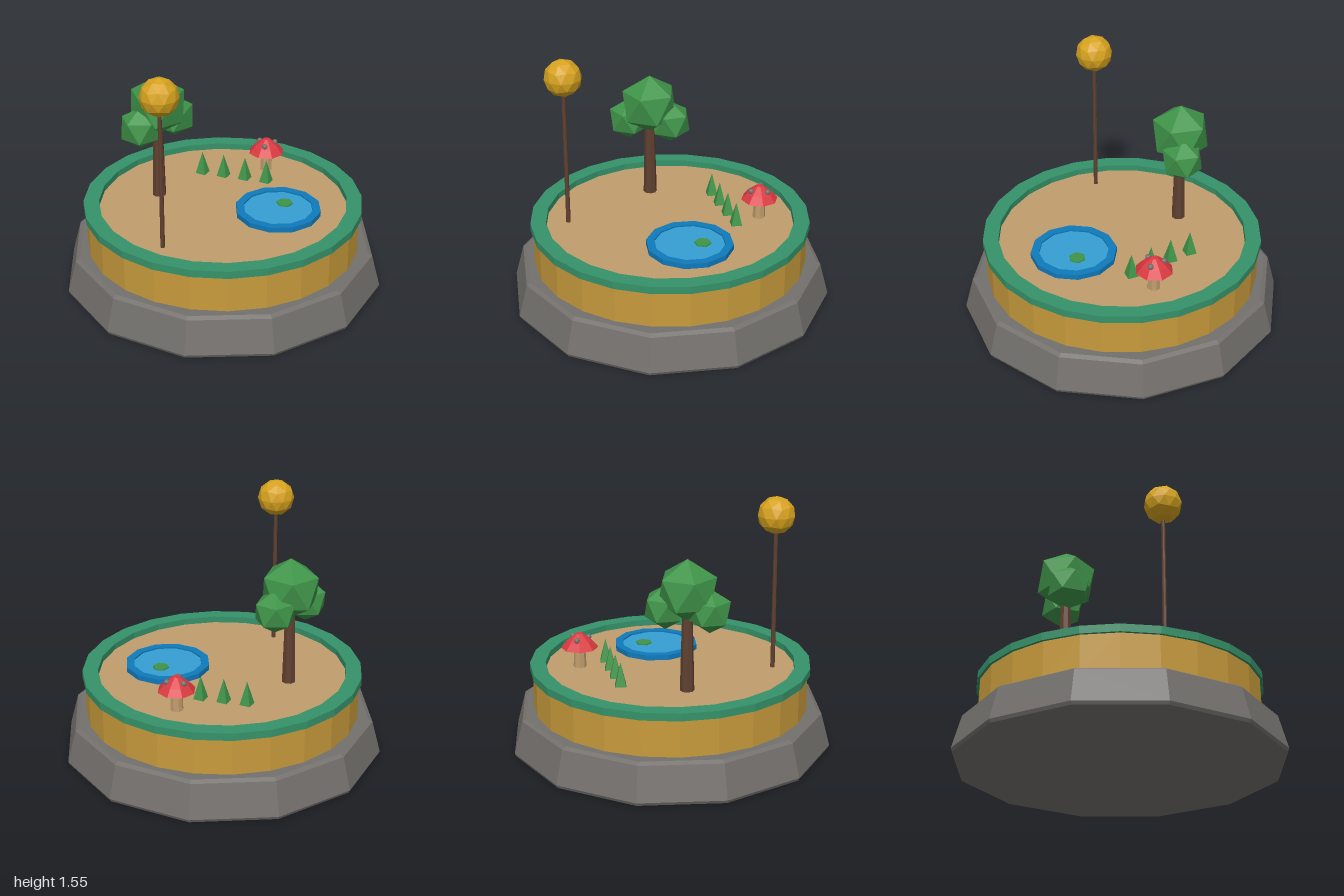
import * as THREE from 'three';

const mat = (name, color) => {
  const m = new THREE.MeshStandardMaterial({ color, flatShading: true });
  m.name = name;
  return m;
};

export function createModel() {
  const stone = mat('stone grey', 0x73706d);
  const ochre = mat('ochre', 0xc89b3c);
  const rimGreen = mat('rim green', 0x35926a);
  const sand = mat('sand', 0xc09c6c);
  const bark = mat('bark brown', 0x5f4030);
  const leaf = mat('leaf green', 0x3f9449);
  const gold = mat('lamp gold', 0xd6a21e);
  const red = mat('mushroom red', 0xd93a40);
  const deepBlue = mat('pond edge blue', 0x0f7abc);
  const water = mat('water blue', 0x349fd2);

  const model = new THREE.Group();
  model.name = 'gardenIsland';

  const add = (name, geometry, material, x = 0, y = 0, z = 0, parent = model) => {
    const mesh = new THREE.Mesh(geometry, material);
    mesh.name = name;
    mesh.position.set(x, y, z);
    parent.add(mesh);
    return mesh;
  };
  const group = (name, x, z) => {
    const g = new THREE.Group();
    g.name = name;
    g.position.set(x, 0, z);
    model.add(g);
    return g;
  };
  // Faceted turned shape from [radius, height] pairs
  const turned = (points, sides) =>
    new THREE.LatheGeometry(points.map(([r, y]) => new THREE.Vector2(r, y)), sides);
  // Upright prism between two heights
  const prism = (rTop, rBottom, y0, y1, sides) =>
    new THREE.CylinderGeometry(rTop, rBottom, y1 - y0, sides).translate(0, (y0 + y1) / 2, 0);
  // Faceted ball standing on one of its corners
  const ball = (r, detail) =>
    new THREE.IcosahedronGeometry(r, detail).rotateZ(-Math.atan(2 / (1 + Math.sqrt(5))));

  const floorY = 0.475;

  // Plinth, drum, floor and raised rim
  add('stoneBase', turned([[0, 0], [0.99, 0], [1, 0.02], [0.945, 0.225], [0.92, 0.24], [0, 0.24]], 12), stone);
  add('drum', prism(0.85, 0.85, 0.23, 0.47, 24), ochre);
  add('floor', prism(0.78, 0.78, 0.465, floorY, 24), sand);
  add('rim', turned([[0.77, 0.468], [0.866, 0.468], [0.866, 0.515], [0.77, 0.515], [0.77, 0.468]], 24), rimGreen);

  // Tree with three crown lobes
  const tree = group('tree', -0.345, -0.245);
  add('trunk', prism(0.03, 0.043, floorY, 1.0, 8), bark, 0, 0, 0, tree);
  add('crownTop', ball(0.19, 0), leaf, 0, 1.09, 0, tree);
  add('crownRight', ball(0.135, 0), leaf, -0.122, 0.98, 0.055, tree);
  add('crownLeft', ball(0.135, 0), leaf, 0.12, 0.98, -0.06, tree);

  // Lamp
  const lamp = group('lamp', -0.493, 0.395);
  add('lampPole', prism(0.012, 0.014, floorY, 1.36, 8), bark, 0, 0, 0, lamp);
  add('lampGlobe', ball(0.115, 1), gold, 0, 1.44, 0, lamp);

  // Row of grass tufts
  for (let i = 0; i < 4; i++) {
    add('grassTuft', prism(0, 0.047, floorY, 0.622, 4), leaf, 0.118 * i, 0, -0.45 + 0.08 * i);
  }

  // Mushroom with three spots
  const mushroom = group('mushroom', 0.412, -0.378);
  add('mushroomStem', prism(0.034, 0.04, floorY, 0.61, 8), sand, 0, 0, 0, mushroom);
  add('mushroomCap', turned([[0, 0.6], [0.115, 0.6], [0.08, 0.642], [0.022, 0.69], [0, 0.69]], 8), red, 0, 0, 0, mushroom);
  for (let i = 0; i < 3; i++) {
    const a = (i * Math.PI * 2) / 3;
    add('mushroomSpot', ball(0.018, 1), stone, 0.058 * Math.cos(a), 0.66, 0.058 * Math.sin(a), mushroom);
  }

  // Pond with a floating leaf
  const pond = group('pond', 0.295, 0.195);
  add('pondEdge', turned([[0.215, floorY], [0.265, floorY], [0.265, 0.508], [0.215, 0.508], [0.215, floorY]], 12), deepBlue, 0, 0, 0, pond);
  add('pondWater', prism(0.216, 0.216, floorY, 0.498, 12), water, 0, 0, 0, pond);
  add('lilyPad', prism(0.052, 0.052, 0.498, 0.506, 6), leaf, 0.06, 0, -0.05, pond);

  return model;
}
